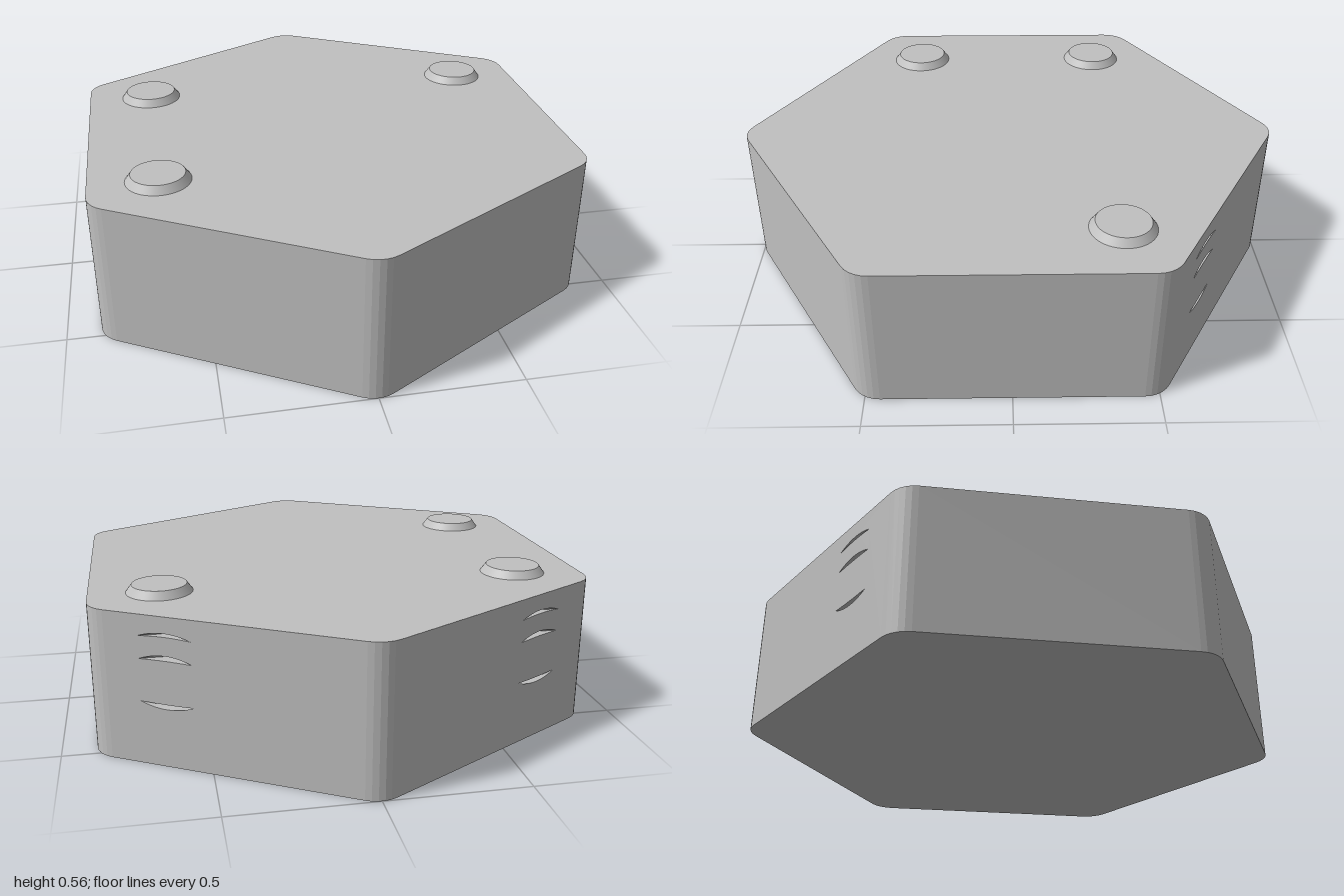
import * as THREE from 'three';

const APOTHEM = 0.88, ROUND = 0.104, HEIGHT = 0.529, ARC_STEPS = 5;
const RING = (APOTHEM - ROUND) / Math.cos(Math.PI / 6); // distance of corner arc centres
const SIN60 = Math.sin(Math.PI / 3);

// Rounded hexagon outline as (x, z) points
function hexOutline() {
  const pts = [];
  for (let k = 0; k < 6; k++) {
    const phi = (30 + 60 * k) * Math.PI / 180;
    for (let i = 0; i <= ARC_STEPS; i++) {
      const a = phi + (i / ARC_STEPS - 0.5) * Math.PI / 3;
      pts.push(new THREE.Vector2(
        RING * Math.cos(phi) + ROUND * Math.cos(a),
        RING * Math.sin(phi) + ROUND * Math.sin(a)));
    }
  }
  return pts;
}

function quadGeometry(quads) {
  const pos = [];
  for (const [a, b, c, d] of quads) pos.push(...a, ...b, ...c, ...a, ...c, ...d);
  const g = new THREE.BufferGeometry();
  g.setAttribute('position', new THREE.Float32BufferAttribute(pos, 3));
  g.computeVertexNormals();
  return g;
}

// Lens-shaped slot outline as (depth toward back, height) points
function slotOutline(y, lower, upper) {
  const pts = [], n = 12, half = 0.048, centre = 0.648;
  for (let i = 0; i <= n; i++) {
    const t = -1 + 2 * i / n;
    pts.push(new THREE.Vector2(centre + half * t, y + lower * (1 - t * t)));
  }
  for (let i = n - 1; i > 0; i--) {
    const t = -1 + 2 * i / n;
    pts.push(new THREE.Vector2(centre + half * t, y + upper * (1 - t * t)));
  }
  return pts;
}

export function createModel() {
  const group = new THREE.Group();
  const grey = new THREE.MeshStandardMaterial({ color: 0xc0c0c0, side: THREE.DoubleSide });
  grey.name = 'grey';
  const add = (name, geometry) => {
    const mesh = new THREE.Mesh(geometry, grey);
    mesh.name = name;
    group.add(mesh);
    return mesh;
  };

  // Top and bottom plates
  const outline = hexOutline();
  const plate = new THREE.Shape(outline);
  add('topPlate', new THREE.ShapeGeometry(plate).rotateX(-Math.PI / 2).translate(0, HEIGHT, 0));
  add('bottomPlate', new THREE.ShapeGeometry(plate).rotateX(Math.PI / 2));

  // Side walls, leaving out the two slotted back panels
  const walls = [];
  outline.forEach((p, i) => {
    const q = outline[(i + 1) % outline.length];
    const backPanel = p.distanceTo(q) > 0.5 && p.y + q.y < -0.6;
    if (!backPanel) walls.push([[p.x, 0, p.y], [p.x, HEIGHT, p.y], [q.x, HEIGHT, q.y], [q.x, 0, q.y]]);
  });
  add('sideWalls', quadGeometry(walls));

  // Back panels with slots cut through them
  const slots = [
    slotOutline(0.455, 0.005, 0.017),
    slotOutline(0.376, 0.002, 0.019),
    slotOutline(0.227, -0.019, -0.002),
  ];
  const panelX = s => 2 * (APOTHEM - SIN60 * s);
  const s1 = RING / 2 + ROUND * SIN60, s2 = RING + ROUND * SIN60;
  for (const side of [1, -1]) {
    const panel = new THREE.Shape([[s1, 0], [s2, 0], [s2, HEIGHT], [s1, HEIGHT]].map(p => new THREE.Vector2(...p)));
    slots.forEach(s => panel.holes.push(new THREE.Path(s)));
    const g = new THREE.ShapeGeometry(panel);
    const pos = g.attributes.position;
    for (let i = 0; i < pos.count; i++) {
      const s = pos.getX(i);
      pos.setXYZ(i, side * panelX(s), pos.getY(i), -s);
    }
    if (side < 0) g.index.array.reverse();
    g.computeVertexNormals();
    add(side > 0 ? 'leftBackPanel' : 'rightBackPanel', g);
  }

  // Slot tunnels running from one back panel to the other
  for (const slot of slots) {
    add('slotTunnel', quadGeometry(slot.map((p, i) => {
      const q = slot[(i + 1) % slot.length];
      const px = panelX(p.x), qx = panelX(q.x);
      return [[px, p.y, -p.x], [-px, p.y, -p.x], [-qx, q.y, -q.x], [qx, q.y, -q.x]];
    })));
  }

  // Three tapered studs on the top, one corner left empty
  for (const [x, z] of [[-0.637, -0.368], [0.637, -0.368], [-0.637, 0.368]]) {
    const stud = add('stud', new THREE.CylinderGeometry(0.095, 0.115, 0.028, 48));
    stud.position.set(x, HEIGHT + 0.014, z);
  }
  return group;
}
